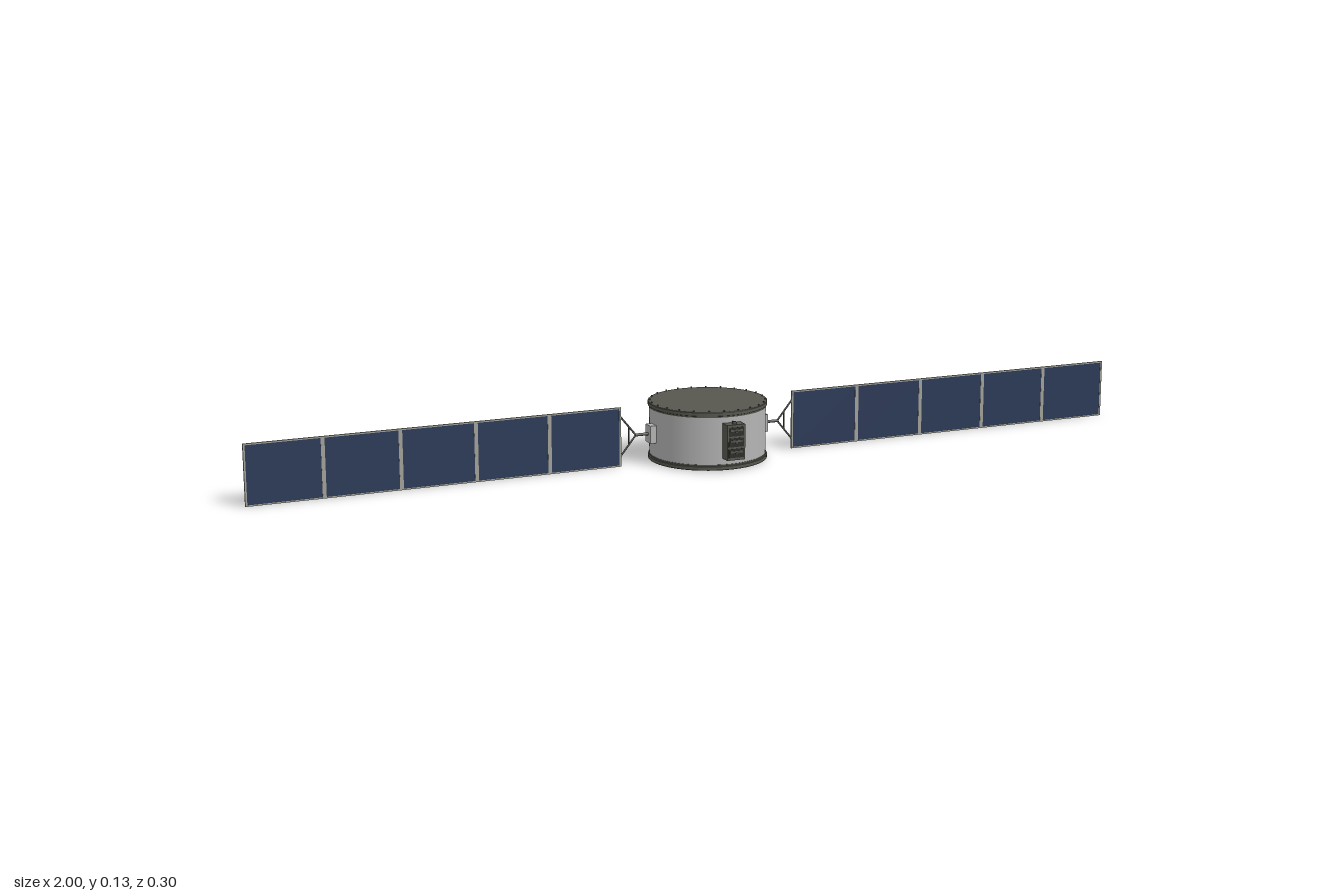
import * as THREE from 'three';

const mat = (name, color) => new THREE.MeshStandardMaterial({ name, color });

export function createModel() {
  const root = new THREE.Group();
  root.name = 'satellite';
  const silver = mat('silver hull', 0xb4b4b4);
  const dark = mat('dark trim', 0x57574f);
  const black = mat('black recess', 0x2c2c2a);
  const blue = mat('solar blue', 0x2b3a57);
  const frameGrey = mat('frame grey', 0xa2a29a);

  const add = (parent, name, geo, material, x = 0, y = 0, z = 0) => {
    const m = new THREE.Mesh(geo, material);
    m.name = name;
    m.position.set(x, y, z);
    parent.add(m);
    return m;
  };
  const box = (w, h, d) => new THREE.BoxGeometry(w, h, d);
  const cyl = (r, h, n = 64) => new THREE.CylinderGeometry(r, r, h, n);

  // Straight rod between two points
  const rod = (parent, name, a, b, r, material) => {
    const p = new THREE.Vector3(...a), q = new THREE.Vector3(...b);
    const m = add(parent, name, cyl(r, p.distanceTo(q), 8), material);
    m.position.copy(p).lerp(q, 0.5);
    m.quaternion.setFromUnitVectors(new THREE.Vector3(0, 1, 0), q.sub(p).normalize());
  };

  const midY = 0.065;

  // Drum body with a stepped rim at each end
  add(root, 'drumBody', cyl(0.125, 0.108), silver, 0, midY, 0);
  const rim = (name, y0, dir) => {
    const pts = [[0, 0], [0.127, 0], [0.128, 0.001], [0.128, 0.008], [0.126, 0.009], [0.126, 0.012], [0, 0.012]]
      .map(([r, h]) => new THREE.Vector2(r, y0 + dir * h));
    if (dir < 0) pts.reverse();
    // Duplicate rings at the corners keep the steps crisp
    const sharp = pts.flatMap((p, i) => (i ? [pts[i - 1], p] : []));
    for (let i = 0; i < sharp.length; i += 2) {
      add(root, name, new THREE.LatheGeometry([sharp[i], sharp[i + 1]], 64), dark);
    }
  };
  rim('bottomRim', 0.002, 1);
  rim('topRim', 0.127, -1);

  // Bolts round the top rim
  const bolts = 24;
  for (let i = 0; i < bolts; i++) {
    const a = ((i + 0.5) / bolts) * Math.PI * 2;
    add(root, 'rimBolt', cyl(0.0017, 0.004, 6), dark, Math.sin(a) * 0.1235, 0.128, Math.cos(a) * 0.1235);
  }

  // Louvred equipment boxes on the drum wall
  const equipment = (angle) => {
    const g = new THREE.Group();
    g.name = 'equipmentBox';
    g.rotation.y = angle;
    root.add(g);
    add(g, 'housing', box(0.041, 0.076, 0.028), dark, 0, midY, 0.134);
    for (let i = -1; i <= 1; i++) {
      const y = midY + i * 0.023;
      add(g, 'recess', box(0.035, 0.019, 0.002), black, 0, y, 0.1478);
      add(g, 'slat', box(0.029, 0.004, 0.003), dark, 0, y + 0.003, 0.1485);
      add(g, 'latch', box(0.004, 0.003, 0.003), dark, 0, y, 0.1498);
    }
    add(g, 'topConnector', box(0.008, 0.006, 0.006), dark, 0, 0.105, 0.137);
  };
  [0, Math.PI - 0.25, Math.PI + 0.25].forEach(equipment);

  // Solar wings, mirrored by half a turn
  for (const side of [1, -1]) {
    const wing = new THREE.Group();
    wing.name = side > 0 ? 'leftWing' : 'rightWing';
    wing.rotation.y = side > 0 ? 0 : Math.PI;
    root.add(wing);

    // Hinge block and forked yoke
    add(wing, 'hingeBlock', box(0.018, 0.038, 0.026), silver, 0.129, midY, 0);
    rod(wing, 'hingeShaft', [0.136, midY, 0], [0.168, midY, 0], 0.0032, dark);
    for (const s of [1, -1]) {
      rod(wing, 'yokeArm', [0.166, midY, 0], [0.201, midY + s * 0.043, 0], 0.002, dark);
    }
    rod(wing, 'yokeBrace', [0.182, midY - 0.02, 0], [0.182, midY + 0.02, 0], 0.0015, dark);

    // Frame rails, posts and five cell panels
    const h = 0.128, y = h / 2;
    for (const ry of [0.0015, h - 0.0015]) {
      add(wing, 'frameRail', box(0.8, 0.003, 0.004), frameGrey, 0.6, ry, 0);
    }
    for (let i = 0; i <= 5; i++) {
      const end = i === 0 || i === 5;
      const w = end ? 0.004 : 0.008;
      const x = 0.2 + i * 0.16 + (i === 0 ? w / 2 : i === 5 ? -w / 2 : 0);
      add(wing, 'framePost', box(w, h, 0.004), frameGrey, x, y, 0);
    }
    for (let i = 0; i < 5; i++) {
      add(wing, 'solarPanel', box(0.152, 0.122, 0.003), blue, 0.28 + i * 0.16, y, 0);
    }
  }
  return root;
}
